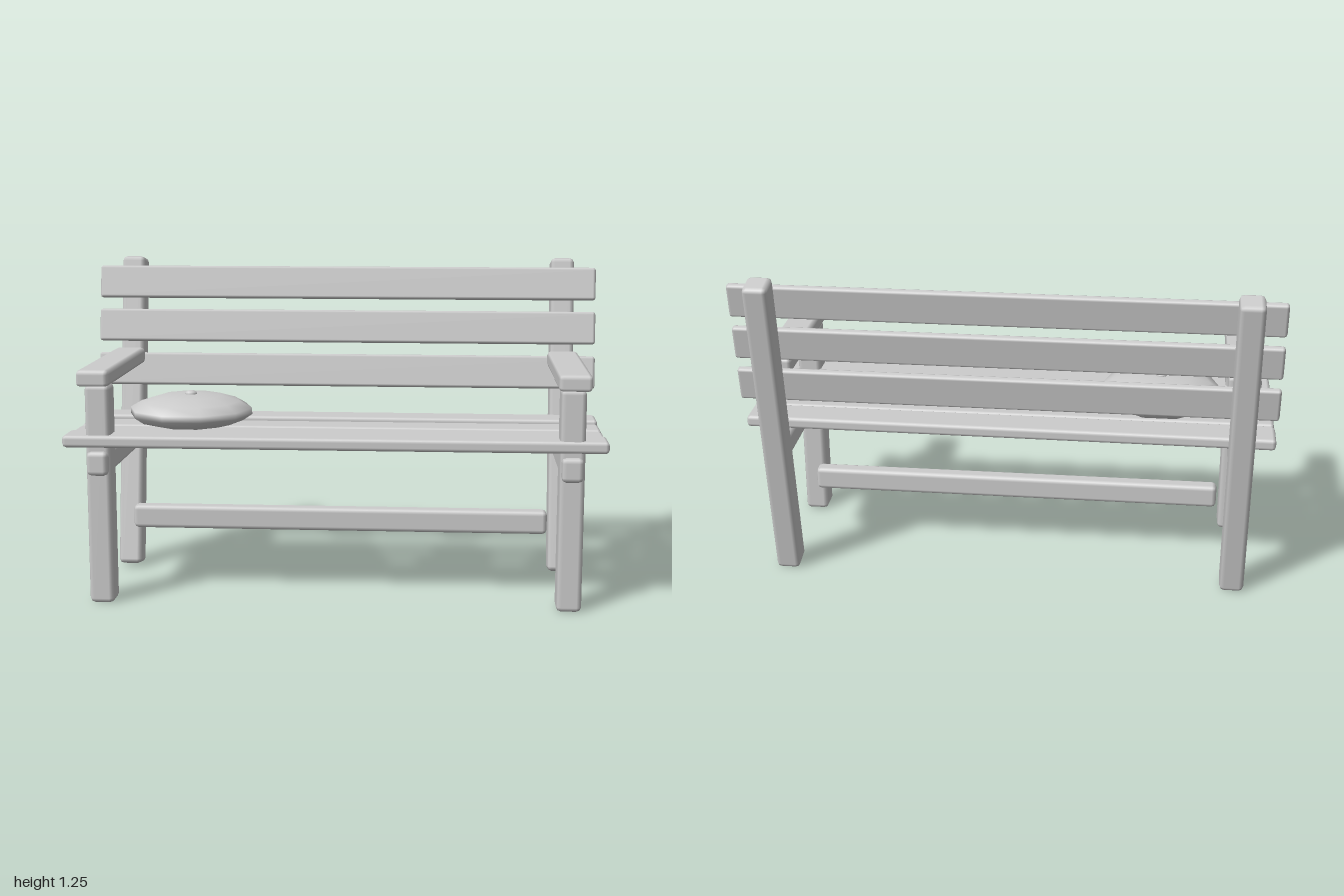
import * as THREE from 'three';
import { RoundedBoxGeometry } from 'three/addons/geometries/RoundedBoxGeometry.js';

export function createModel() {
  const bench = new THREE.Group();
  bench.name = 'bench';
  const grey = new THREE.MeshStandardMaterial({ color: 0xcccccc });
  grey.name = 'plain grey';

  const add = (name, geometry, x, y, z) => {
    const mesh = new THREE.Mesh(geometry, grey);
    mesh.name = name;
    mesh.position.set(x, y, z);
    bench.add(mesh);
    return mesh;
  };
  // Timber with single-step bevelled edges
  const beam = (name, w, h, d, bevel, x, y, z) =>
    add(name, new RoundedBoxGeometry(w, h, d, 1, bevel), x, y, z);

  const lean = -0.171;

  // Armrest: long bevel at the front, square cut at the back
  const armGeometry = new RoundedBoxGeometry(0.12, 0.062, 0.69, 1, 0.016);
  const p = armGeometry.attributes.position;
  for (let i = 0; i < p.count; i++) {
    const z = p.getZ(i);
    if (z > 0.3 && z < 0.344) p.setZ(i, 0.345 - (0.345 - z) * 2.6);
    if (z < -0.3) p.setZ(i, -0.345);
  }

  // Frame on each side
  for (const [side, s] of [['left', 1], ['right', -1]]) {
    const x = s * 0.867;
    beam(side + 'FrontLeg', 0.092, 0.825, 0.105, 0.018, x, 0.42, 0.322);
    beam(side + 'RearLeg', 0.092, 1.253, 0.105, 0.018, x, 0.632, -0.293).rotation.x = lean;
    beam(side + 'SeatRail', 0.08, 0.09, 0.66, 0.018, x, 0.542, 0.07);
    add(side + 'Armrest', armGeometry, x, 0.865, 0.11);
  }

  // Seat slats, the outer two sitting slightly higher: z, y, slight skew
  const seat = [
    [0.32, 0.624, 0.004], [0.165, 0.613, -0.002],
    [0.006, 0.613, 0.002], [-0.153, 0.624, -0.004],
  ];
  for (const [z, y, skew] of seat) {
    beam('seatSlat', 1.995, 0.045, 0.135, 0.014, 0, y, z).rotation.y = skew;
  }

  // Back slats: z, y
  for (const [z, y] of [[-0.325, 1.155], [-0.294, 0.982], [-0.264, 0.808]]) {
    beam('backSlat', 1.995, 0.13, 0.032, 0.011, 0, y, z).rotation.x = lean;
  }

  // Low stretcher
  beam('stretcher', 1.6, 0.09, 0.065, 0.017, 0, 0.273, 0.056);

  // Round cushion with a centre button
  const profile = [[0, 0], [0.14, 0], [0.2, 0.016], [0.235, 0.04], [0.235, 0.064],
    [0.19, 0.09], [0.12, 0.111], [0.04, 0.117], [0, 0.115]].map(([r, y]) => new THREE.Vector2(r, y));
  add('cushion', new THREE.LatheGeometry(profile, 10, Math.PI / 10), -0.565, 0.645, 0.09);
  const button = add('cushionButton', new THREE.SphereGeometry(0.024, 10, 6), -0.565, 0.761, 0.09);
  button.scale.y = 0.6;

  return bench;
}
